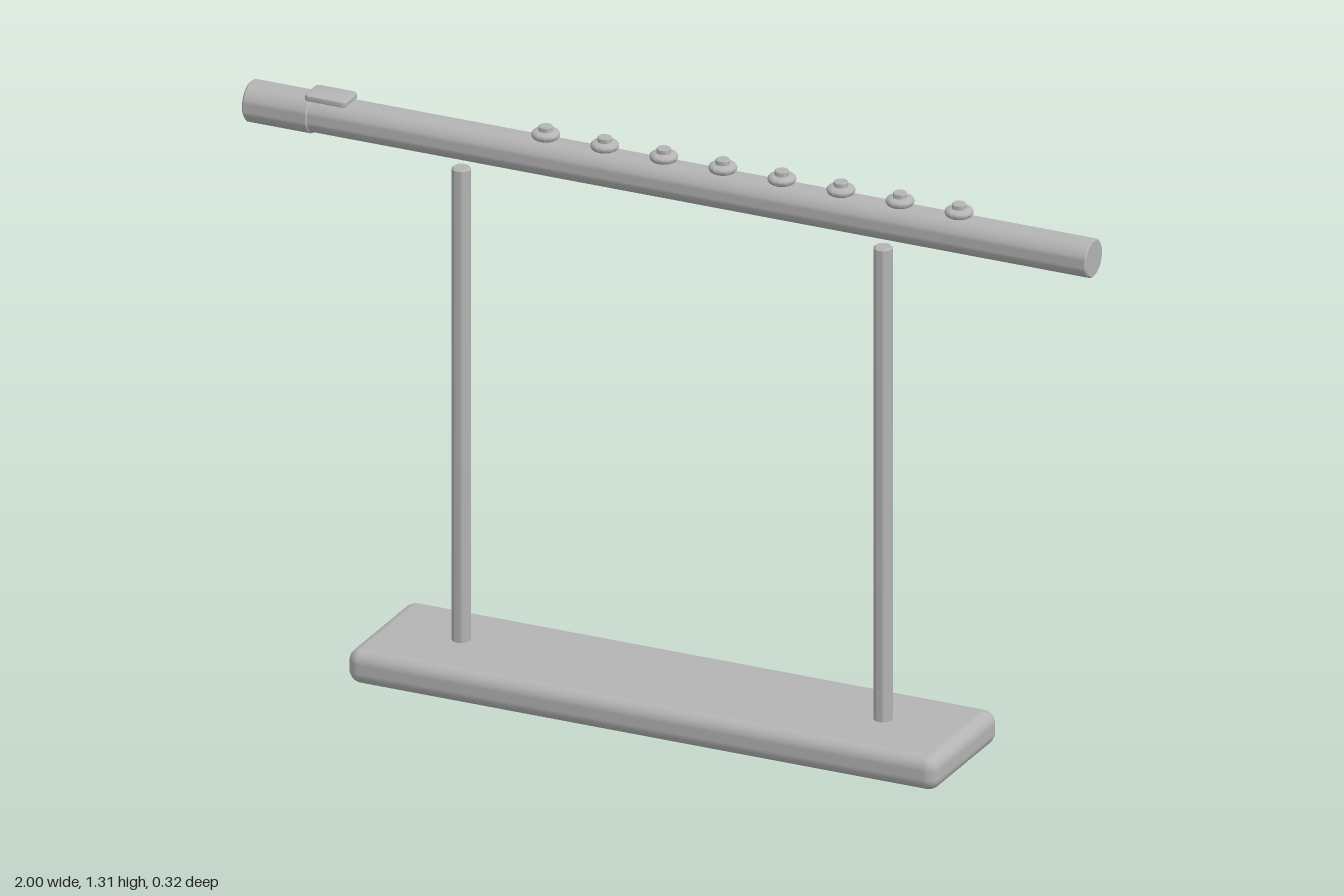
import * as THREE from 'three';
import { toCreasedNormals } from 'three/addons/utils/BufferGeometryUtils.js';
import { RoundedBoxGeometry } from 'three/addons/geometries/RoundedBoxGeometry.js';

const grey = new THREE.MeshStandardMaterial({ color: 0xb4b4b4, side: THREE.DoubleSide });
grey.name = 'plain grey';

const part = (name, geometry, x = 0, y = 0, z = 0) => {
  const mesh = new THREE.Mesh(geometry, grey);
  mesh.name = name;
  mesh.position.set(x, y, z);
  return mesh;
};

// Turned solid from [radius, height] pairs, bottom to top
const turned = (profile, sides = 32) => toCreasedNormals(
  new THREE.LatheGeometry(profile.map(([r, y]) => new THREE.Vector2(r, y)), sides), 0.6);

// Round rod standing on y = 0 with softened ends
const rod = (r, length, b) => turned([
  [0, 0], [r - b, 0], [r, b], [r, length - b], [r - b, length], [0, length],
]);

// Rounded slab whose flat underside is left open
function hollowSlab(w, h, d, r) {
  const box = new RoundedBoxGeometry(w, h, d, 5, r);
  const source = box.index ? box.toNonIndexed() : box;
  const p = source.attributes.position, n = source.attributes.normal;
  const positions = [], normals = [];
  for (let i = 0; i < p.count; i += 3) {
    const isFloor = [0, 1, 2].every((k) => p.getY(i + k) < -h / 2 + 1e-4);
    if (isFloor) continue;
    for (let k = i; k < i + 3; k++) {
      positions.push(p.getX(k), p.getY(k), p.getZ(k));
      normals.push(n.getX(k), n.getY(k), n.getZ(k));
    }
  }
  const g = new THREE.BufferGeometry();
  g.setAttribute('position', new THREE.Float32BufferAttribute(positions, 3));
  g.setAttribute('normal', new THREE.Float32BufferAttribute(normals, 3));
  return g;
}

// Thin plate lying flat, with rounded corners and edges
function plate(w, d, t, r, b) {
  const x = w / 2 - b, y = d / 2 - b;
  const s = new THREE.Shape();
  s.absarc(x - r, y - r, r, 0, Math.PI / 2);
  s.absarc(-x + r, y - r, r, Math.PI / 2, Math.PI);
  s.absarc(-x + r, -y + r, r, Math.PI, Math.PI * 1.5);
  s.absarc(x - r, -y + r, r, Math.PI * 1.5, Math.PI * 2);
  const g = new THREE.ExtrudeGeometry(s, {
    depth: t - 2 * b, bevelThickness: b, bevelSize: b, bevelSegments: 3, curveSegments: 6,
  });
  g.translate(0, 0, b - t / 2).rotateX(-Math.PI / 2);
  return toCreasedNormals(g, 0.6);
}

export function createModel() {
  const model = new THREE.Group();
  model.name = 'fluteOnStand';
  const axisY = 1.243;

  // Stand: open-bottomed base and two posts running down through it
  const stand = new THREE.Group();
  stand.name = 'stand';
  stand.add(part('base', hollowSlab(1.4, 0.08, 0.32, 0.03), 0, 0.04));
  for (const side of [-1, 1]) {
    stand.add(part(side > 0 ? 'leftPost' : 'rightPost', rod(0.021, 1.18, 0.004), side * 0.5));
  }

  // Flute: body, wider head joint and lip plate
  const flute = new THREE.Group();
  flute.name = 'flute';
  const body = part('body', rod(0.043, 1.86, 0.003), -0.86, axisY);
  const head = part('headJoint', rod(0.0465, 0.155, 0.004), -1, axisY);
  body.rotation.z = head.rotation.z = -Math.PI / 2;
  flute.add(body, head);
  flute.add(part('lipPlate', plate(0.1, 0.068, 0.014, 0.008, 0.004), -0.804, 1.292, 0.011));

  // Keys: round-edged pads, each with a small button on top
  const padProfile = [[0, 0], [0.023, 0]];
  for (let i = 0; i <= 8; i++) {
    const a = -Math.PI / 2 + (i / 8) * Math.PI;
    padProfile.push([0.0215 + 0.0095 * Math.cos(a), 0.0095 + 0.0095 * Math.sin(a)]);
  }
  padProfile.splice(1, 1);
  padProfile.push([0, 0.019]);
  const pad = turned(padProfile);
  const button = rod(0.0155, 0.014, 0.002);
  for (let i = 0; i < 8; i++) {
    const key = new THREE.Group();
    key.name = 'key' + (i + 1);
    key.position.set(-0.3 + i * 0.14, 1.283, 0);
    key.add(part('keyPad', pad), part('keyButton', button, 0, 0.016));
    flute.add(key);
  }

  model.add(stand, flute);
  return model;
}
